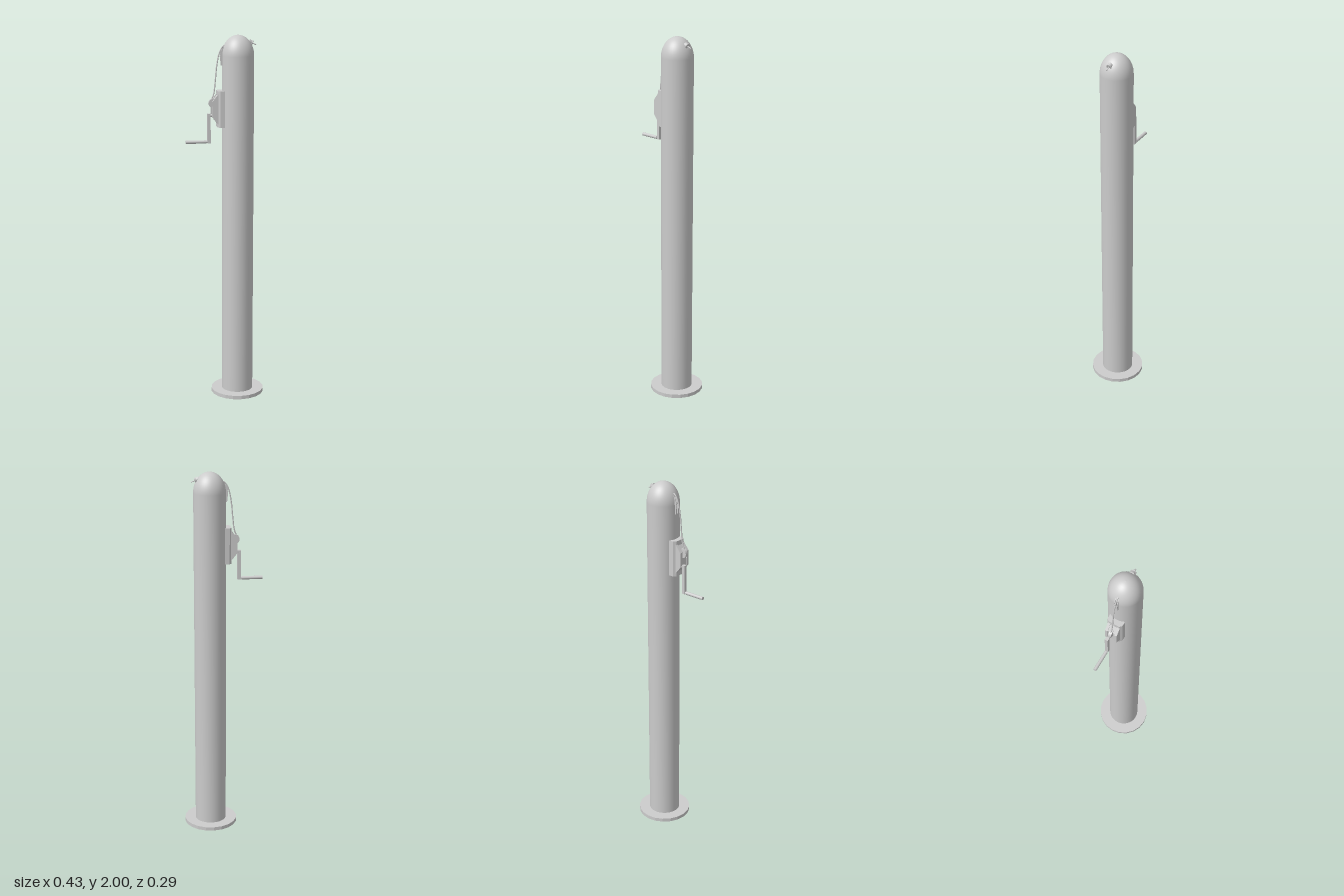
import * as THREE from 'three';

const PX = 0.067; // post axis
const R = 0.086;

export function createModel() {
  const model = new THREE.Group();
  const smooth = new THREE.MeshStandardMaterial({ color: 0xcccccc, side: THREE.DoubleSide });
  const flat = new THREE.MeshStandardMaterial({ color: 0xcccccc, side: THREE.DoubleSide, flatShading: true });

  const add = (name, geometry, x, y, z, material = smooth) => {
    const mesh = new THREE.Mesh(geometry, material);
    mesh.name = name;
    mesh.position.set(x, y, z);
    model.add(mesh);
    return mesh;
  };
  const v2 = (x, y) => new THREE.Vector2(x, y);
  // cylinder running along x between x0 and x1
  const rodX = (name, x0, x1, r, y, z, sides = 12) => {
    const rod = add(name, new THREE.CylinderGeometry(r, r, Math.abs(x1 - x0), sides), (x0 + x1) / 2, y, z);
    rod.rotation.z = Math.PI / 2;
    return rod;
  };
  // side profile in x/y, given a width in z
  const slab = (name, points, width, z = 0) => {
    const shape = new THREE.Shape(points.map(([x, y]) => v2(x, y)));
    const g = new THREE.ExtrudeGeometry(shape, { depth: width, bevelEnabled: false });
    return add(name, g.translate(0, 0, -width / 2), 0, 0, z, flat);
  };

  // hollow post with a domed top
  const profile = [v2(R, 0.005)];
  for (let i = 0; i <= 12; i++) {
    const a = (i / 12) * Math.PI / 2;
    profile.push(v2(Math.max(R * Math.cos(a), 0), 1.89 + 0.11 * Math.sin(a)));
  }
  add('post', new THREE.LatheGeometry(profile, 40), PX, 0, 0);

  // ring flange at the foot
  const flange = [v2(R, 0), v2(0.146, 0), v2(0.146, 0.02), v2(R, 0.02), v2(R, 0)];
  add('baseFlange', new THREE.LatheGeometry(flange, 20), PX, 0, 0, flat);

  // winch: mounting plate with chamfered long edges, then a tapered housing
  const plate = new THREE.Shape([
    v2(-0.004, -0.042), v2(-0.034, -0.042), v2(-0.046, -0.03),
    v2(-0.046, 0.03), v2(-0.034, 0.042), v2(-0.004, 0.042),
  ]);
  const plateGeometry = new THREE.ExtrudeGeometry(plate, { depth: 0.194, bevelEnabled: false });
  plateGeometry.rotateX(-Math.PI / 2);
  add('winchPlate', plateGeometry, 0, 1.513, 0, flat);
  for (const s of [-1, 1]) {
    slab('winchCheek', [[-0.04, 1.525], [-0.04, 1.695], [-0.076, 1.65], [-0.076, 1.57]], 0.014, s * 0.026);
  }
  slab('winchHousing', [[-0.04, 1.53], [-0.04, 1.69], [-0.07, 1.65], [-0.07, 1.57]], 0.045);

  // cable drum
  const drum = add('cableDrum', new THREE.CylinderGeometry(0.025, 0.025, 0.016, 20), -0.067, 1.64, 0);
  drum.rotation.x = Math.PI / 2;

  // crank: shaft, arm and handle
  const CZ = -0.015;
  rodX('crankShaft', -0.06, -0.094, 0.009, 1.572, CZ);
  add('crankArm', new THREE.BoxGeometry(0.018, 0.16, 0.017), -0.088, 1.503, CZ, flat);
  rodX('handlePin', -0.09, -0.105, 0.006, 1.43, CZ);
  rodX('handleGrip', -0.102, -0.214, 0.009, 1.43, CZ, 16);

  // cable from the drum up into the top pulley
  const path = new THREE.CatmullRomCurve3([
    [-0.08, 1.65], [-0.064, 1.69], [-0.055, 1.76], [-0.047, 1.84], [-0.032, 1.91], [-0.01, 1.945], [0.01, 1.95],
  ].map(([x, y]) => new THREE.Vector3(x, y, 0)));
  add('cable', new THREE.TubeGeometry(path, 40, 0.0035, 8), 0, 0, 0);

  // pulley set into the post
  const pulley = add('pulley', new THREE.CylinderGeometry(0.022, 0.022, 0.006, 20), -0.008, 1.91, 0);
  pulley.rotation.x = Math.PI / 2;
  for (const s of [-1, 1]) {
    slab('pulleyCheek', [[0.01, 1.84], [-0.024, 1.84], [-0.03, 1.89], [-0.022, 1.925], [0, 1.95], [0.01, 1.95]], 0.003, s * 0.008);
  }

  // net hook on the far shoulder of the dome
  const hook = new THREE.Group();
  hook.name = 'netHook';
  hook.position.set(0.134, 1.96, 0);
  hook.rotation.z = -0.4;
  const collar = new THREE.Mesh(new THREE.CylinderGeometry(0.012, 0.014, 0.018, 12), smooth);
  collar.name = 'hookCollar';
  collar.rotation.z = -Math.PI / 2;
  const pin = new THREE.Mesh(new THREE.CylinderGeometry(0.003, 0.003, 0.04, 8), smooth);
  pin.name = 'hookPin';
  pin.rotation.z = -Math.PI / 2;
  pin.position.x = 0.013;
  const rim = new THREE.Mesh(new THREE.TorusGeometry(0.012, 0.003, 8, 20), smooth);
  rim.name = 'hookRim';
  rim.rotation.y = Math.PI / 2;
  rim.position.x = 0.008;
  hook.add(collar, pin, rim);
  model.add(hook);

  return model;
}
